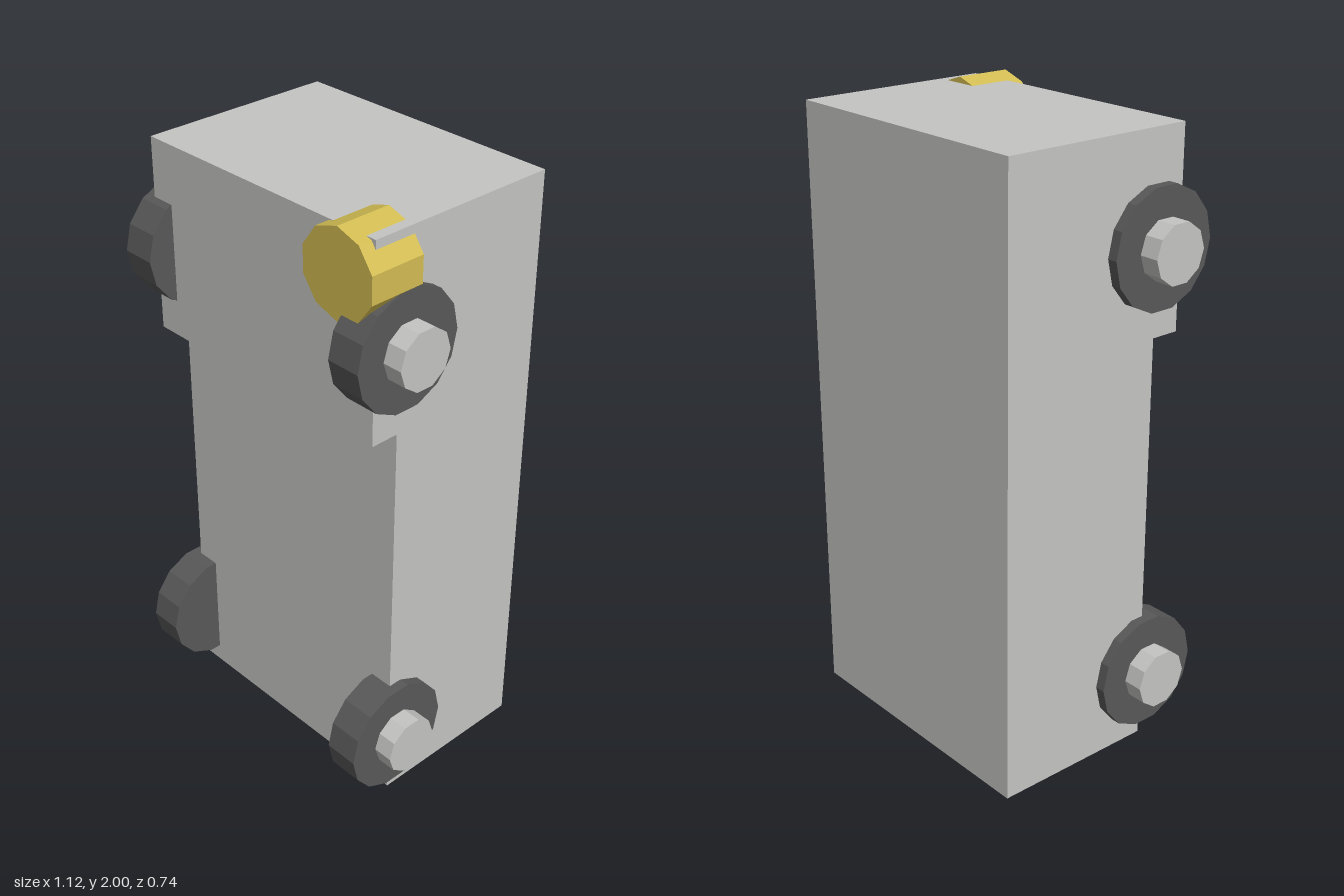
import * as THREE from 'three';

export function createModel() {
  const model = new THREE.Group();
  model.name = 'wheeledCabinet';

  const material = (name, color) => {
    const m = new THREE.MeshStandardMaterial({ color, flatShading: true });
    m.name = name;
    return m;
  };
  const grey = material('light grey', 0xc4c4c2);
  const rubber = material('dark rubber', 0x585858);
  const gold = material('gold', 0xd2bc52);

  const add = (name, geometry, mat, x, y, z) => {
    const mesh = new THREE.Mesh(geometry, mat);
    mesh.name = name;
    mesh.position.set(x, y, z);
    model.add(mesh);
    return mesh;
  };

  // Body: one L-shaped side profile, drawn as (depth, height), extruded across the width
  const back = -0.37, front = 0.184, overhang = 0.278, step = 1.357, top = 1.98, width = 0.926;
  const profile = new THREE.Shape([
    [back, 0], [front, 0], [front, step], [overhang, step], [overhang, top], [back, top],
  ].map(([z, y]) => new THREE.Vector2(z, y)));
  const bodyGeometry = new THREE.ExtrudeGeometry(profile, { depth: width, bevelEnabled: false });
  bodyGeometry.rotateY(-Math.PI / 2); // depth axis now faces +z
  add('body', bodyGeometry, grey, width / 2, 0, 0);

  // Wheels with protruding hubs, mirrored left and right
  const wheelGeometry = new THREE.CylinderGeometry(0.188, 0.188, 0.112, 14).rotateZ(Math.PI / 2);
  const hubGeometry = new THREE.CylinderGeometry(0.094, 0.094, 0.12, 10).rotateZ(Math.PI / 2);
  for (const [level, y] of [['lower', 0.246], ['upper', 1.635]]) {
    for (const [side, s] of [['Left', 1], ['Right', -1]]) {
      add(`${level}${side}Wheel`, wheelGeometry, rubber, s * 0.44, y, 0.181);
      add(`${level}${side}Hub`, hubGeometry, grey, s * 0.5, y, 0.181);
    }
  }

  // Round knob on the upper left corner of the front
  const knobGeometry = new THREE.CylinderGeometry(0.137, 0.137, 0.185, 10).rotateX(Math.PI / 2);
  add('knob', knobGeometry, gold, 0.367, 1.863, 0.23);

  return model;
}
